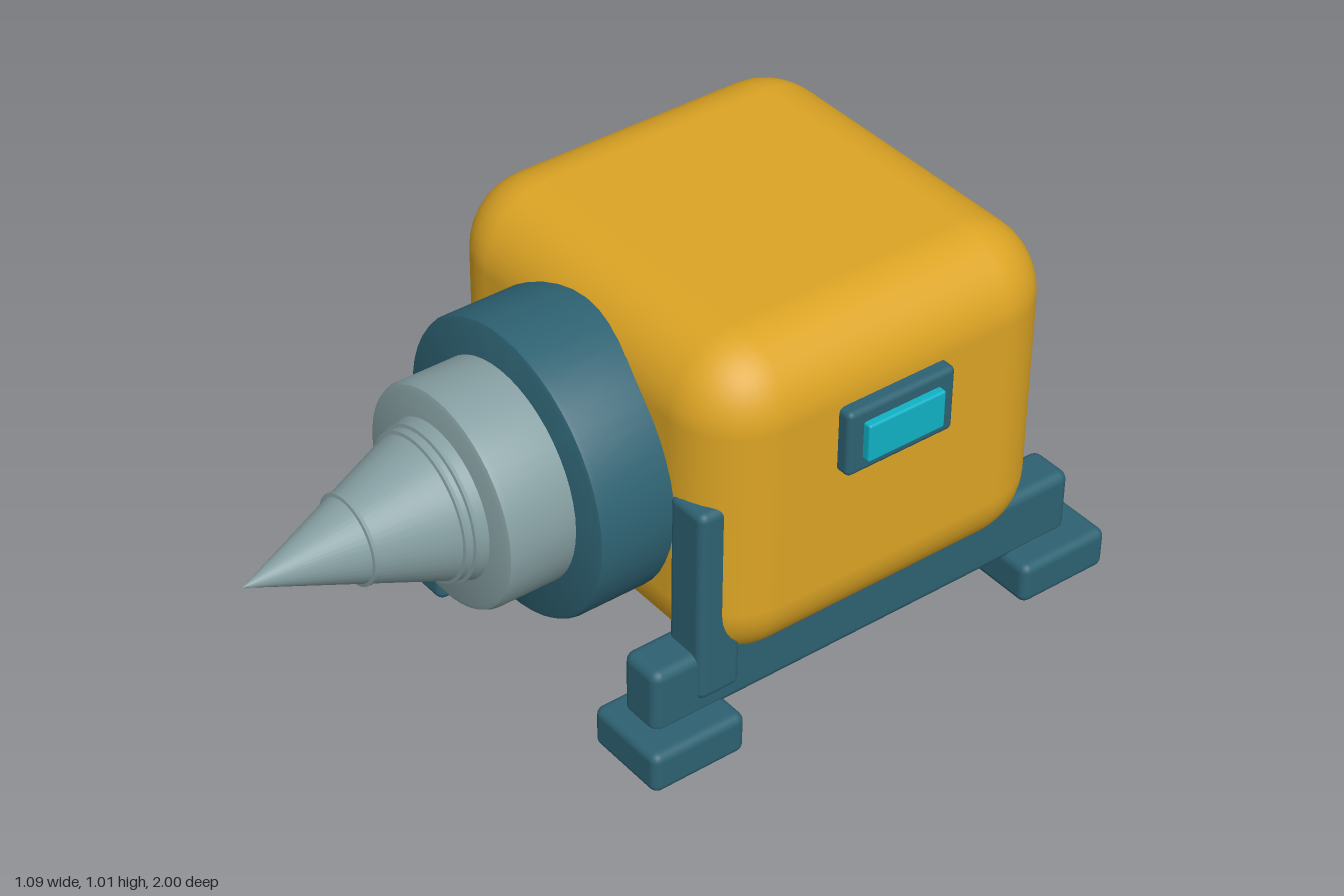
import * as THREE from 'three';
import { RoundedBoxGeometry } from 'three/addons/geometries/RoundedBoxGeometry.js';
import { toCreasedNormals } from 'three/addons/utils/BufferGeometryUtils.js';

const CX = -0.024; // middle of the machine, the side panel shifts it off x = 0
const AXIS_Y = 0.588; // height of the drill axis

const material = (name, color) => {
  const m = new THREE.MeshStandardMaterial({ color });
  m.name = name;
  return m;
};

export function createModel() {
  const yellow = material('yellow', 0xdca424);
  const teal = material('teal', 0x2e6272);
  const steel = material('steel', 0x869fa2);
  const cyan = material('cyan', 0x10b2c6);
  const model = new THREE.Group();
  model.name = 'drillMachine';

  // Rounded block given by its extents on each axis
  function block(name, mat, [x0, x1], [y0, y1], [z0, z1], radius, segments = 3) {
    const geo = new RoundedBoxGeometry(x1 - x0, y1 - y0, z1 - z0, segments, radius);
    const mesh = new THREE.Mesh(geo, mat);
    mesh.name = name;
    mesh.position.set((x0 + x1) / 2, (y0 + y1) / 2, (z0 + z1) / 2);
    model.add(mesh);
    return mesh;
  }

  // Turned part on the drill axis, profile as [radius, z] from back to front
  function turned(name, mat, profile) {
    const points = profile.map(([r, z]) => new THREE.Vector2(r, z));
    const geo = toCreasedNormals(new THREE.LatheGeometry(points, 48), 0.5);
    geo.rotateX(Math.PI / 2);
    const mesh = new THREE.Mesh(geo, mat);
    mesh.name = name;
    mesh.position.set(CX, AXIS_Y, 0);
    model.add(mesh);
  }

  // Housing
  block('housing', yellow, [-0.535, 0.488], [0.18, 1.015], [-0.825, 0.145], 0.18, 5);

  // Drill head: mounting ring, collar, cone and thin bands
  turned('mountingRing', teal, [
    [0, 0.08], [0.346, 0.08], [0.356, 0.09], [0.356, 0.322],
    [0.352, 0.331], [0.343, 0.335], [0, 0.335],
  ]);
  turned('drillCollar', steel, [
    [0, 0.3], [0.265, 0.3], [0.265, 0.487], [0.26, 0.5], [0.247, 0.505], [0, 0.505],
  ]);
  turned('drillCone', steel, [[0.193, 0.495], [0, 1]]);
  for (const z of [0.532, 0.553, 0.735]) {
    const r = (1 - z) * 0.382;
    turned('drillBand', steel, [
      [r - 0.004, z - 0.006], [r + 0.006, z - 0.004], [r + 0.006, z + 0.004], [r - 0.004, z + 0.006],
    ]);
  }

  // Undercarriage, one set on each side
  for (const side of [-1, 1]) {
    const span = (inner, outer) => [CX + side * inner, CX + side * outer].sort((a, b) => a - b);
    block('rail', teal, span(0.33, 0.449), [0.09, 0.262], [-0.938, 0.263], 0.025);
    block('frontPost', teal, span(0.344, 0.46), [0.138, 0.652], [0.035, 0.15], 0.02);
    block('frontFoot', teal, span(0.297, 0.521), [0, 0.108], [0.066, 0.318], 0.022);
    block('rearFoot', teal, span(0.297, 0.521), [0, 0.108], [-1, -0.748], 0.022);
    // Small sloping gusset under the rail behind the front foot
    const gusset = block('gusset', teal, span(0.34, 0.43), [0.08, 0.14], [-0.01, 0.14], 0.01);
    gusset.rotation.x = 0.25;
  }

  // Side panel with lit display
  block('panelFrame', teal, [0.47, 0.523], [0.662, 0.83], [-0.467, -0.172], 0.014);
  block('panelDisplay', cyan, [0.5, 0.543], [0.699, 0.796], [-0.424, -0.212], 0.006);

  return model;
}
